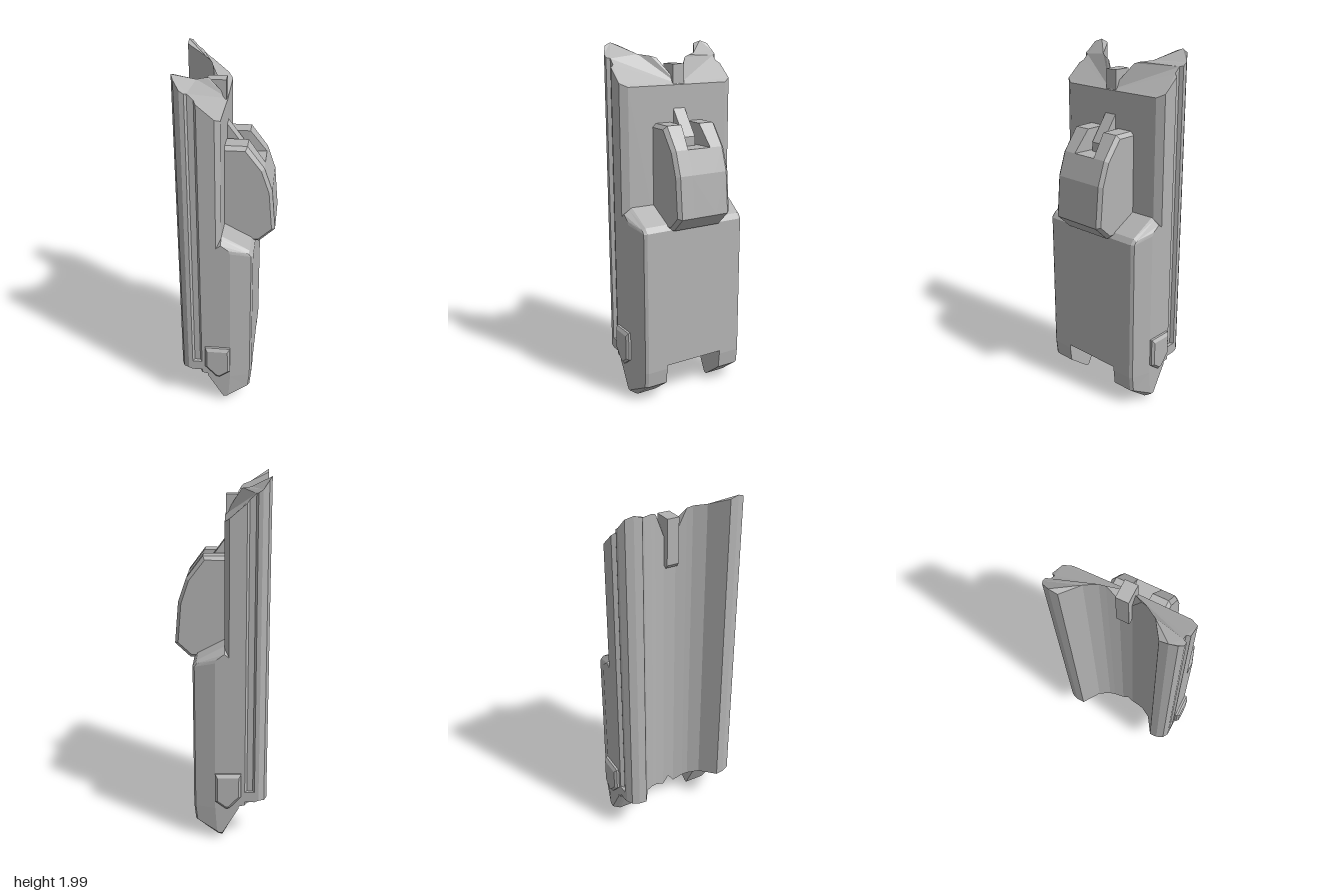
import * as THREE from 'three';

const grey = new THREE.MeshStandardMaterial({ color: 0xb4b4b4 });
grey.name = 'plain grey';

// Closed, faceted solid through matching rings; u and v are the axes the caps are triangulated in.
function loft(rings, u, v) {
  const flat = rings[0].map(p => new THREE.Vector2(p[u], p[v]));
  if (THREE.ShapeUtils.area(flat) < 0) {
    rings = rings.map(r => [...r].reverse());
    flat.reverse();
  }
  const tris = [];
  const n = flat.length, last = rings.length - 1;
  for (const [a, b, c] of THREE.ShapeUtils.triangulateShape(flat, [])) {
    tris.push([rings[0][a], rings[0][c], rings[0][b]]);
    tris.push([rings[last][a], rings[last][b], rings[last][c]]);
  }
  for (let k = 0; k < last; k++) {
    for (let i = 0; i < n; i++) {
      const j = (i + 1) % n, A = rings[k], B = rings[k + 1];
      tris.push([A[i], A[j], B[j]], [A[i], B[j], B[i]]);
    }
  }
  // Turn the solid outward if its signed volume is negative
  let volume = 0;
  for (const [a, b, c] of tris) {
    volume += a[0] * (b[1] * c[2] - b[2] * c[1]) + a[1] * (b[2] * c[0] - b[0] * c[2])
      + a[2] * (b[0] * c[1] - b[1] * c[0]);
  }
  if (volume < 0) tris.forEach(t => t.reverse());
  const geometry = new THREE.BufferGeometry();
  geometry.setAttribute('position', new THREE.Float32BufferAttribute(tris.flat(2), 3));
  geometry.computeVertexNormals();
  return geometry;
}

// Ring of a side profile at depth z
const at = (profile, z) => profile.map(([x, y]) => [x, y, z]);

export function createModel() {
  const group = new THREE.Group();
  const add = (name, geometry) => {
    const mesh = new THREE.Mesh(geometry, grey);
    mesh.name = name;
    group.add(mesh);
    return mesh;
  };
  const box = (name, x0, x1, y0, y1, z0, z1) =>
    add(name, new THREE.BoxGeometry(x1 - x0, y1 - y0, z1 - z0))
      .position.set((x0 + x1) / 2, (y0 + y1) / 2, (z0 + z1) / 2);

  // Curved shell: half section as [x, z, bottom, top], grooved on its side
  const half = [
    [-0.085, 0, 0.2, 1.78], [-0.085, 0.035, 0.15, 1.79], [-0.1, 0.09, 0.18, 1.92],
    [-0.11, 0.12, 0.19, 1.93], [-0.15, 0.18, 0.21, 1.94], [-0.255, 0.245, 0.235, 1.985],
    [-0.255, 0.29, 0.24, 2], [-0.24, 0.33, 0.245, 1.985], [-0.21, 0.35, 0.25, 1.94],
    [-0.187, 0.35, 0.24, 1.925], [-0.177, 0.33, 0.235, 1.92], [-0.145, 0.33, 0.225, 1.89],
    [-0.133, 0.35, 0.22, 1.875], [-0.045, 0.35, 0.2, 1.8], [-0.02, 0.31, 0.2, 1.78],
    [-0.015, 0, 0.22, 1.78],
  ];
  const section = [
    ...half,
    ...half.slice(1, -1).reverse().map(([x, z, b, t]) => [x, -z, b, t]),
  ];
  add('shell', loft([
    section.map(([x, z, b]) => [x, b, z]),
    section.map(([x, z, , t]) => [x, t, z]),
  ], 0, 2));

  // Lower back block: centre and two chamfered sides ending in pointed feet
  const top = [[0.15, 1.02], [0.13, 1.05], [-0.02, 1.13], [-0.045, 1.09]];
  const centre = [[-0.045, 0.2], [0.15, 0.22], ...top];
  add('backBlockCentre', loft([at(centre, -0.185), at(centre, 0.185)], 0, 1));
  const side = [[-0.1, 0.185], [-0.01, 0.01], [0.01, 0.01], [0.14, 0.11], [0.15, 0.2], ...top];
  const sideIn = [[-0.1, 0.19], [-0.01, 0.02], [0.01, 0.02], [0.13, 0.11], [0.14, 0.2],
    [0.14, 1.02], [0.125, 1.04], [-0.02, 1.12], [-0.045, 1.09]];
  const sideOut = [[-0.1, 0.2], [-0.01, 0.045], [0.01, 0.045], [0.02, 0.055], [0.03, 0.2],
    [0.03, 1.05], [0.02, 1.07], [-0.02, 1.1], [-0.045, 1.08]];

  // Rear housing: a bevelled profile with a slot cut into its top
  const cheek = [[-0.02, 1.58], [0.1, 1.58], [0.19, 1.46], [0.235, 1.33], [0.255, 1.1],
    [0.17, 1.02], [-0.02, 1.02]];
  const cheekBevel = [[-0.02, 1.56], [0.09, 1.56], [0.175, 1.45], [0.218, 1.325], [0.237, 1.107],
    [0.165, 1.04], [-0.02, 1.04]];
  const core = [[-0.02, 1.46], ...cheek.slice(2)];
  add('housingCore', loft([at(core, -0.075), at(core, 0.075)], 0, 1));

  // Side buckle outline
  const buckle = [[-0.113, 0.415], [0.03, 0.415], [0.03, 0.25], [-0.03, 0.205], [-0.05, 0.21],
    [-0.113, 0.28]];
  const buckleTop = [[-0.1, 0.397], [0.017, 0.397], [0.017, 0.257], [-0.031, 0.221],
    [-0.044, 0.224], [-0.1, 0.285]];

  // Mirrored parts
  for (const s of [1, -1]) {
    const name = s > 0 ? 'left' : 'right';
    add(name + 'BackBlock', loft([
      at(side, s * 0.18), at(side, s * 0.3), at(sideIn, s * 0.317), at(sideOut, s * 0.35),
    ], 0, 1));
    add(name + 'HousingCheek', loft([
      cheek.map(([x, y]) => [x, y, s * (x < 0.11 ? 0.056 : 0.07)]),
      at(cheek, s * 0.145), at(cheekBevel, s * 0.165),
    ], 0, 1));
    add(name + 'Buckle', loft([
      at(buckle, s * 0.34), at(buckle, s * 0.363), at(buckleTop, s * 0.375),
    ], 0, 1));
    box(name + 'GrooveEnd', -0.187, -0.133, 0.24, 0.3, s * 0.34 - 0.01, s * 0.34 + 0.01);
  }

  // Sloped fin in the housing slot
  const fin = [[-0.02, 1.66], [0.09, 1.51], [0.09, 1.45], [-0.02, 1.45]];
  add('slotFin', loft([at(fin, -0.036), at(fin, 0.036)], 0, 1));

  // Hooked clip over the upper edge
  const clip = [[-0.02, 1.89], [-0.02, 1.74], [-0.088, 1.74], [-0.088, 1.63], [-0.105, 1.62],
    [-0.12, 1.64], [-0.12, 1.89]];
  add('topClip', loft([at(clip, -0.034), at(clip, 0.034)], 0, 1));

  return group;
}
